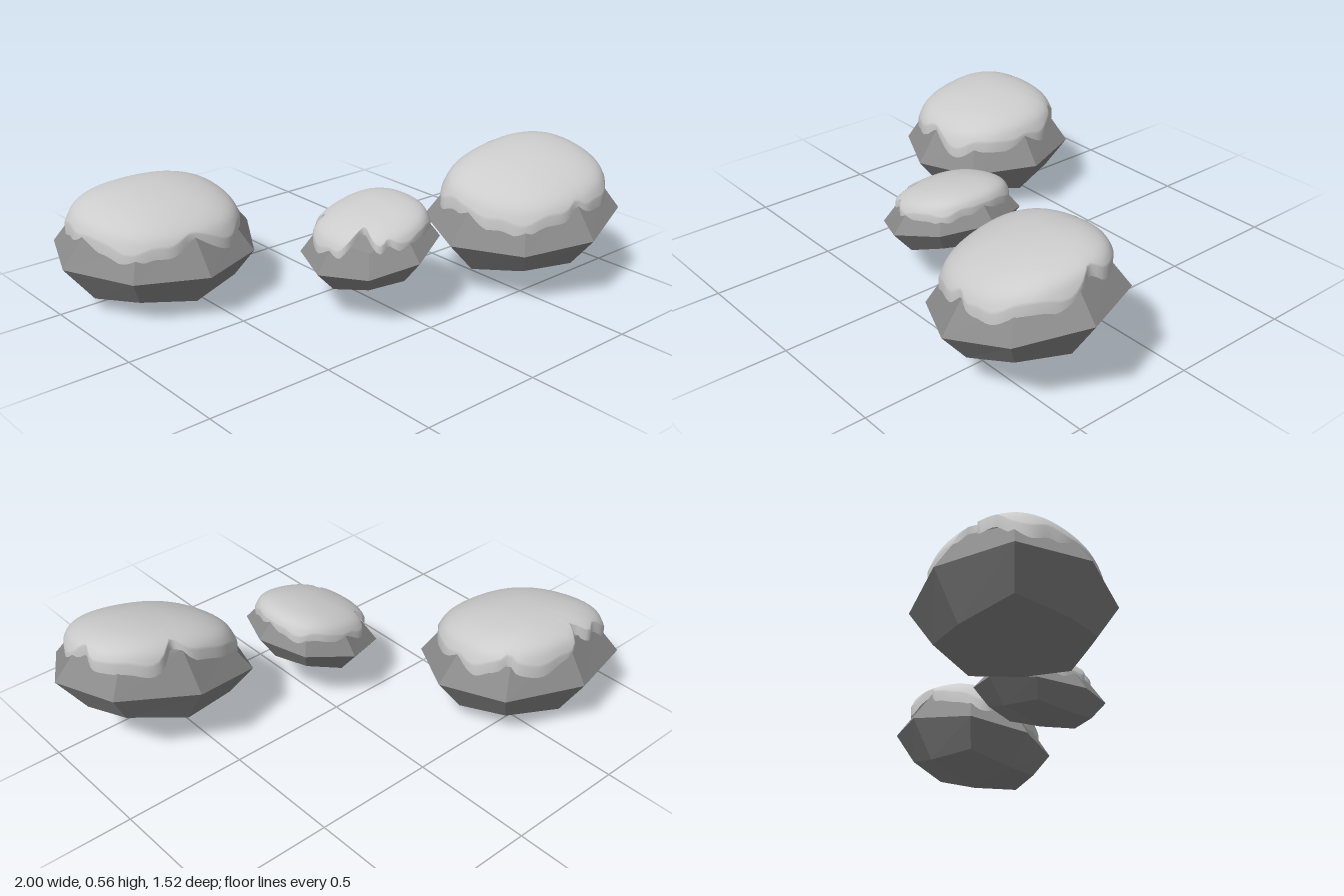
import * as THREE from 'three';

// Each rock: centre, its sheared axes (x, y, z), taper, cap thickness and cap notches [angle, width, depth]
const ROCKS = [
  { name: 'rightRock', centre: [-0.6, 0.215, -0.41], x: [0.4, 0.01, 0.035], y: [0, 0.215, 0], z: [0, -0.025, 0.356],
    taper: 0.12, lift: 1, phase: 0.4, notches: [[-1.76, 0.13, 0.45], [-2.1, 0.14, 0.22], [1.6, 0.25, 0.2], [-0.75, 0.08, 0.15]] },
  { name: 'middleRock', centre: [-0.045, 0.265, 0.21], x: [0.262, 0.06, 0], y: [0, 0.137, 0], z: [0, 0, 0.27],
    taper: 0.04, lift: 1.05, phase: 2.1, notches: [[2.5, 0.3, 0.5], [2.0, 0.14, 0.3], [-2.25, 0.12, 0.35]] },
  { name: 'leftRock', centre: [0.607, 0.3, 0.41], x: [0.388, 0.07, 0.032], y: [0, 0.205, 0], z: [0, -0.035, 0.348],
    taper: 0.12, lift: 1.05, phase: 4.0, notches: [[-1.5, 0.5, 0.15], [-1.45, 0.12, 0.2], [-0.25, 0.15, 0.25], [1.6, 0.14, 0.22]] },
];

// Cap cross-section as (radius, height) on a unit rock: low dome with a thin rounded lip
const PROFILE = new THREE.SplineCurve([
  [0, 1.07], [0.25, 1.05], [0.5, 0.97], [0.66, 0.86], [0.755, 0.73], [0.805, 0.57], [0.835, 0.43],
].map(([r, h]) => new THREE.Vector2(r, h)));

// Moves unit-sized geometry into a rock's frame, which grows taller and wider to the back
function place(geometry, rock) {
  const v = (a) => new THREE.Vector3(...a);
  const p = geometry.attributes.position;
  for (let i = 0; i < p.count; i++) {
    const s = 1 - rock.taper * p.getZ(i);
    p.setXYZ(i, p.getX(i) * s, p.getY(i) * s, p.getZ(i));
  }
  geometry.applyMatrix4(new THREE.Matrix4().makeBasis(v(rock.x), v(rock.y), v(rock.z)).setPosition(v(rock.centre)));
  geometry.computeVertexNormals();
  return geometry;
}

// Faceted stone: a cube split once and rounded, corners pulled in so that the quads are flat
function stoneGeometry(rock) {
  const g = new THREE.BoxGeometry(2, 2, 2, 2, 2, 2);
  const p = g.attributes.position;
  const v = new THREE.Vector3();
  for (let i = 0; i < p.count; i++) {
    v.fromBufferAttribute(p, i);
    v.setLength(v.lengthSq() > 2.5 ? 0.948 : 1);
    p.setXYZ(i, v.x, v.y, v.z);
  }
  return place(g.toNonIndexed(), rock);
}

// How far down the profile the cap reaches in a given direction
function capReach(angle, rock) {
  const a = angle + rock.phase;
  let reach = 0.89 + 0.045 * Math.sin(5 * a) + 0.04 * Math.sin(9 * a + 1) + 0.02 * Math.sin(14 * a);
  for (const [at, width, depth] of rock.notches) {
    const d = Math.atan2(Math.sin(angle - at), Math.cos(angle - at));
    reach -= depth * Math.exp(-((d / width) ** 2));
  }
  return reach;
}

// Smooth draped cap with a ragged edge that tucks down onto the stone
function capGeometry(rock) {
  const rings = 16, sides = 96;
  const positions = [0, 1.07 * rock.lift, 0];
  const index = [];
  for (let j = 1; j <= rings + 1; j++) {
    for (let i = 0; i < sides; i++) {
      const angle = (i / sides) * Math.PI * 2;
      const q = PROFILE.getPoint((Math.min(j, rings) / rings) * capReach(angle, rock));
      const square = 0.965 + 0.03 * (1 - Math.cos(4 * angle)); // slightly squared outline
      const r = q.x * square;
      const tuck = j > rings ? 0.2 : 0;
      positions.push(r * Math.cos(angle), q.y * rock.lift - tuck, r * Math.sin(angle));
      const next = (i + 1) % sides;
      const outer = 1 + (j - 1) * sides, inner = outer - sides;
      if (j === 1) index.push(0, outer + next, outer + i);
      else index.push(inner + i, inner + next, outer + i, inner + next, outer + next, outer + i);
    }
  }
  const g = new THREE.BufferGeometry();
  g.setAttribute('position', new THREE.Float32BufferAttribute(positions, 3));
  g.setIndex(index);
  return place(g, rock);
}

export function createModel() {
  const model = new THREE.Group();
  model.name = 'cappedRocks';
  const stoneMaterial = new THREE.MeshStandardMaterial({ color: 0x8a8a8a, flatShading: true });
  const capMaterial = new THREE.MeshStandardMaterial({ color: 0xe8e8e8, side: THREE.DoubleSide });
  for (const rock of ROCKS) {
    const group = new THREE.Group();
    group.name = rock.name;
    const stone = new THREE.Mesh(stoneGeometry(rock), stoneMaterial);
    stone.name = 'stone';
    const cap = new THREE.Mesh(capGeometry(rock), capMaterial);
    cap.name = 'snowCap';
    group.add(stone, cap);
    model.add(group);
  }
  return model;
}
